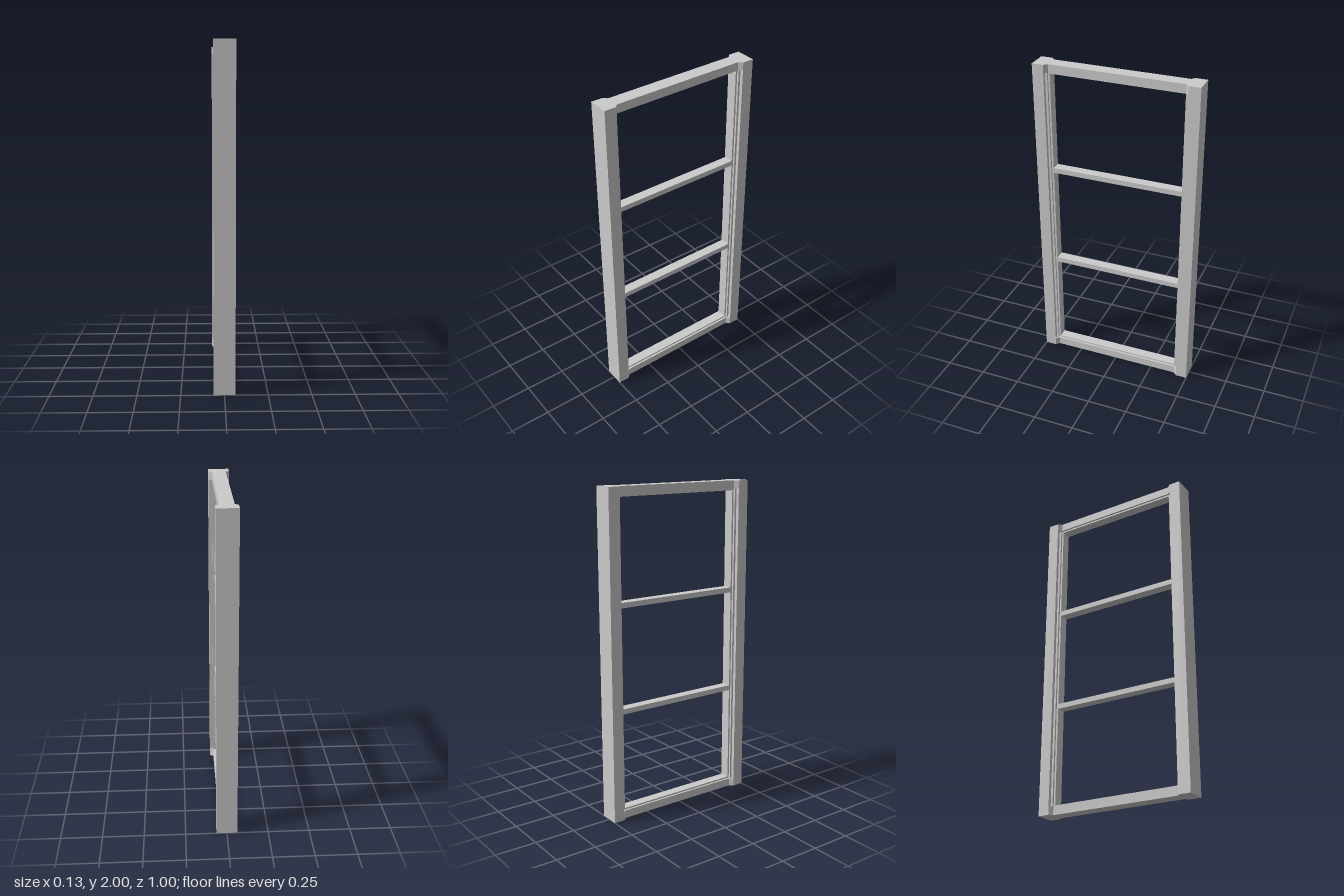
import * as THREE from 'three';

const H = 2, RAIL = 0.05, POST_X = 0.063, RAIL_X = 0.042, BEAD_X = 0.03;
const POST_IN = 0.43, CHAMFER_IN = 0.41, LINER_IN = 0.417, BEAD_IN = 0.406;

export function createModel() {
  const group = new THREE.Group();
  const material = new THREE.MeshStandardMaterial({ color: 0xcccccc, flatShading: true });

  const add = (name, geometry) => {
    const mesh = new THREE.Mesh(geometry, material);
    mesh.name = name;
    group.add(mesh);
    return mesh;
  };
  // Box centred on x, given its half width and its y and z ranges
  const box = (name, hx, y0, y1, z0, z1) =>
    add(name, new THREE.BoxGeometry(2 * hx, y1 - y0, Math.abs(z1 - z0)))
      .position.set(0, (y0 + y1) / 2, (z0 + z1) / 2);

  // Upright posts with a stepped liner and bead on the inner side
  for (const s of [1, -1]) {
    const side = s > 0 ? 'front' : 'back';
    box(side + 'Post', POST_X, 0, H, s * POST_IN, s * 0.5);
    box(side + 'Liner', RAIL_X, RAIL, H - RAIL, s * LINER_IN, s * POST_IN);
    box(side + 'Bead', BEAD_X, RAIL, H - RAIL, s * BEAD_IN, s * LINER_IN);

    // Chamfered corner blocks where the rails meet the posts
    const corner = new THREE.Shape([
      [-POST_X, POST_IN], [-RAIL_X, CHAMFER_IN], [RAIL_X, CHAMFER_IN], [POST_X, POST_IN],
    ].map(([x, z]) => new THREE.Vector2(x, -s * z)));
    for (const y of [0, H - RAIL]) {
      const geometry = new THREE.ExtrudeGeometry(corner, { depth: RAIL, bevelEnabled: false });
      geometry.rotateX(-Math.PI / 2).translate(0, y, 0);
      add(side + (y ? 'Top' : 'Bottom') + 'Corner', geometry);
    }
  }

  // Top and bottom rails with narrow beads
  box('bottomRail', RAIL_X, 0, RAIL, -CHAMFER_IN, CHAMFER_IN);
  box('topRail', RAIL_X, H - RAIL, H, -CHAMFER_IN, CHAMFER_IN);
  box('bottomBead', BEAD_X, RAIL, RAIL + 0.01, -BEAD_IN, BEAD_IN);
  box('topBead', BEAD_X, H - RAIL - 0.01, H - RAIL, -BEAD_IN, BEAD_IN);

  // Two crossbars dividing the opening into three
  for (const y of [0.68, 1.323]) box('crossbar', BEAD_X, y - 0.016, y + 0.016, -BEAD_IN, BEAD_IN);

  return group;
}
